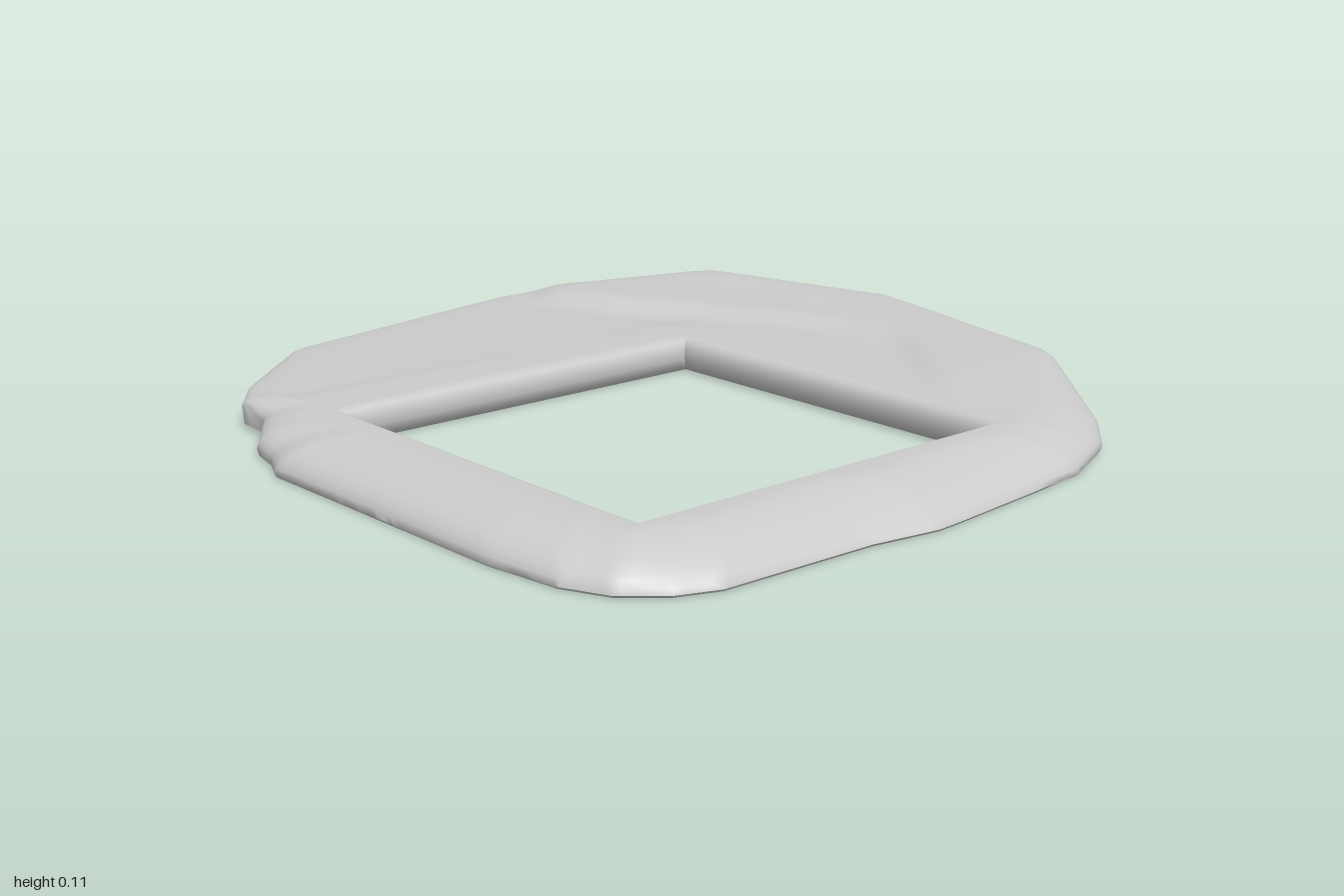
import * as THREE from 'three';
import { toCreasedNormals } from 'three/addons/utils/BufferGeometryUtils.js';

// Outer outline: x, z, rim underside height, rim top height, width of the underside chamfer
const OUTLINE = [
  [-0.28, -1, 0.04, 0.07, 0.06], [0.40, -0.83, 0.035, 0.075, 0.09], [0.46, -0.80, 0.03, 0.07, 0.09],
  [0.80, -0.53, 0.012, 0.03, 0.05], [0.88, -0.44, 0.003, 0.015, 0.02], [0.95, -0.27, 0, 0.008, 0.01],
  [0.97, -0.1, 0, 0.005, 0.01], [0.995, 0.15, 0, 0.005, 0.01], [1, 0.22, 0, 0.005, 0.01],
  [0.975, 0.38, 0, 0.005, 0.01], [0.965, 0.75, 0, 0.005, 0.01], [0.93, 0.84, 0, 0.005, 0.01],
  [0.86, 0.92, 0, 0.005, 0.01], [0.76, 0.965, 0, 0.005, 0.01], [0.58, 0.99, 0, 0.005, 0.01],
  [-0.15, 1, 0, 0.005, 0.01], [-0.22, 0.968, 0, 0.01, 0.01], [-0.3, 0.955, 0.005, 0.02, 0.02],
  [-0.42, 0.868, 0.01, 0.04, 0.05], [-0.52, 0.865, 0.012, 0.055, 0.08], [-0.62, 0.79, 0.015, 0.06, 0.1],
  [-0.84, 0.54, 0.015, 0.065, 0.14], [-0.86, 0.5, 0.015, 0.065, 0.14], [-1, -0.22, 0.015, 0.07, 0.14],
  [-0.995, -0.32, 0.015, 0.07, 0.14], [-0.86, -0.78, 0.03, 0.075, 0.1], [-0.82, -0.84, 0.03, 0.075, 0.08],
];
// Square opening, offset from the middle of the slab
const HOLE = [[-0.25, -0.23], [0.75, -0.23], [0.75, 0.77], [-0.25, 0.77]];
const CX = 0.25, CZ = 0.27;

// Where a ray from the opening's centre meets a closed polygon
function cast(poly, angle) {
  const dx = Math.cos(angle), dz = Math.sin(angle);
  let best = { r: 0, rim: [] };
  poly.forEach((p, i) => {
    const q = poly[(i + 1) % poly.length];
    const ex = q[0] - p[0], ez = q[1] - p[1];
    const px = p[0] - CX, pz = p[1] - CZ;
    const det = dz * ex - dx * ez;
    if (Math.abs(det) < 1e-9) return;
    const r = (pz * ex - px * ez) / det;
    const s = (dx * pz - dz * px) / det;
    if (r > best.r && s > -1e-6 && s < 1 + 1e-6) {
      best = { r, rim: p.slice(2).map((v, k) => v + (q[k + 2] - v) * s) };
    }
  });
  return best;
}

const smooth = THREE.MathUtils.smoothstep;
const bump = (d, w) => Math.exp(-(d * d) / (w * w));

// Wrinkled top: a raised area at the back, edged by a curved fold, and small ripples
function topHeight(x, z) {
  const fold = -0.28 - 0.34 * smooth(x, -0.85, 0) + 0.32 * smooth(x, 0.05, 0.6);
  const fade = 1 - smooth(x, 0.4, 0.8);
  const raised = (1 - smooth(z, fold - 0.08, fold + 0.04)) * fade;
  const corner = smooth(-x, 0.3, 0.7) * raised;
  const ridge = bump(z - fold + 0.03, 0.045) * (1 - smooth(x, 0.1, 0.5));
  const groove = bump(z - fold - 0.08, 0.05) * (1 - smooth(x, 0, 0.4));
  const crown = bump(z + 0.78, 0.06) * smooth(x, -0.85, -0.7) * (1 - smooth(x, -0.1, 0.2));
  const left = smooth(-x, 0.38, 0.46) * (1 - raised);
  const ripple = Math.sin(x * 9 + z * 4) * Math.sin(z * 8 - x * 3) * smooth(-x, 0.2, 0.5);
  return 0.084 + 0.014 * raised + 0.004 * corner + 0.006 * ridge - 0.004 * groove
    + 0.005 * crown - 0.004 * left + 0.002 * ripple;
}

// Flat underside, arching up slightly towards the back
const underHeight = (z) => 0.024 * smooth(-z, 0.4, 0.75) * (1 - smooth(-z, 0.82, 0.98));

// One radial cross-section: opening wall, top, rounded edge, rim, underside
function section(angle) {
  const inner = cast(HOLE, angle).r;
  const { r: outer, rim: [low, high, chamfer] } = cast(OUTLINE, angle);
  const cos = Math.cos(angle), sin = Math.sin(angle);
  const at = (r, y) => [CX + cos * r, y, CZ + sin * r];
  const top = (r) => topHeight(CX + cos * r, CZ + sin * r);
  const under = (r) => underHeight(CZ + sin * r);
  const blunt = smooth(high, 0.005, 0.07);
  const start = inner * 1.03;
  const shoulder = outer - Math.min(0.19 - 0.06 * blunt, (outer - inner) * 0.82);
  const foot = outer - 0.01 - chamfer;

  // Opening wall, wider at its top and bottom edges
  const points = [[1.03, 0], [1, 0.014], [0.983, 0.035], [0.985, 0.06], [1, 0.077]]
    .map(([k, y]) => at(inner * k, y));
  for (let i = 0; i <= 18; i++) {
    const r = start + (shoulder - start) * (i / 18);
    points.push(at(r, top(r)));
  }
  // Edge: a soft slope on the right, rounder at the front
  const crest = top(shoulder);
  const slope = 0.65 * Math.max(0, cos) ** 2;
  for (let i = 1; i <= 8; i++) {
    const t = Math.sin((i / 8) * Math.PI / 2);
    const drop = Math.sqrt(1 - Math.min(1, t * t)) * (1 - slope) + (1 - t ** 1.5) * slope;
    points.push(at(shoulder + (outer - shoulder) * t, high + (crest - high) * drop));
  }
  points.push(at(outer - 0.004, low));
  for (let i = 0; i < 12; i++) {
    const r = foot + (start - foot) * (i / 12);
    points.push(at(r, under(r)));
  }
  return points;
}

function slabGeometry() {
  // Even steps plus every corner, so both outlines stay crisp
  const angles = [...OUTLINE, ...HOLE].map(([x, z]) => Math.atan2(z - CZ, x - CX));
  const corners = angles.slice();
  for (let i = 0; i < 200; i++) {
    const a = -Math.PI + ((i + 0.5) / 200) * Math.PI * 2;
    if (corners.every((c) => Math.abs(c - a) > 0.008)) angles.push(a);
  }
  angles.sort((a, b) => a - b);

  const rings = angles.map(section);
  const m = rings[0].length, n = rings.length;
  const index = [];
  for (let i = 0; i < n; i++) {
    for (let j = 0; j < m; j++) {
      const i2 = (i + 1) % n, j2 = (j + 1) % m;
      const a = i * m + j, b = i2 * m + j, c = i2 * m + j2, d = i * m + j2;
      index.push(a, b, d, b, c, d);
    }
  }
  const geometry = new THREE.BufferGeometry();
  geometry.setAttribute('position', new THREE.Float32BufferAttribute(rings.flat(2), 3));
  geometry.setIndex(index);
  return toCreasedNormals(geometry, 0.9);
}

export function createModel() {
  const group = new THREE.Group();
  group.name = 'slabWithOpening';
  const slab = new THREE.Mesh(slabGeometry(), new THREE.MeshStandardMaterial({ color: 0xcccccc }));
  slab.name = 'slab';
  group.add(slab);
  return group;
}
